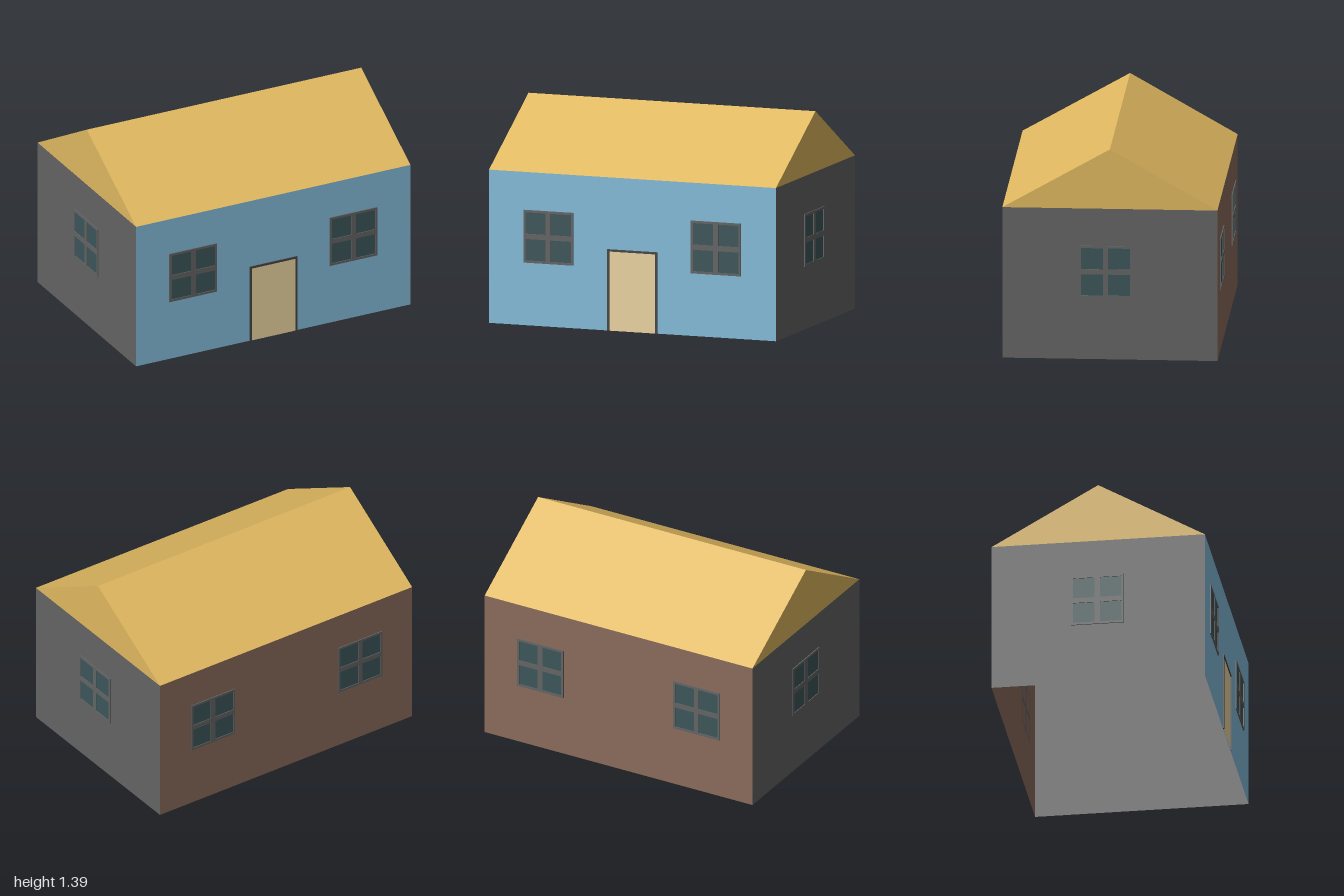
import * as THREE from 'three';

const W = 0.993, D = 0.694, EAVES = 1, RIDGE = 1.395; // half width, half depth, heights
const PROUD = 0.007; // how far windows and door stand off the walls

const mat = (color) => new THREE.MeshStandardMaterial({ color, side: THREE.DoubleSide, flatShading: true });
const colors = {
  blue: mat(0x84bcdb), brown: mat(0x8b6c5c), grey: mat(0x646464),
  roof: mat(0xe0b860), glass: mat(0x3c565a), trim: mat(0x454545), door: mat(0xecd5a2),
};

function add(parent, name, geometry, material, x = 0, y = 0, z = 0) {
  const mesh = new THREE.Mesh(geometry, material);
  mesh.name = name;
  mesh.position.set(x, y, z);
  parent.add(mesh);
  return mesh;
}

function polygon(points) {
  return new THREE.Shape(points.map(([x, y]) => new THREE.Vector2(x, y)));
}

// Square window facing +z: a frame with four openings and recessed panes
function makeWindow(name) {
  const win = new THREE.Group();
  win.name = name;
  const half = 0.172, pane = 0.14, offset = 0.087, p = pane / 2;
  const frame = polygon([[-half, -half], [half, -half], [half, half], [-half, half]]);
  for (const x of [-offset, offset]) {
    for (const y of [-offset, offset]) {
      frame.holes.push(polygon([[x - p, y - p], [x - p, y + p], [x + p, y + p], [x + p, y - p]]));
      add(win, 'windowPane', new THREE.PlaneGeometry(pane, pane), colors.glass, x, y, 0.002);
    }
  }
  add(win, 'windowFrame', new THREE.ExtrudeGeometry(frame, { depth: PROUD, bevelEnabled: false }), colors.grey);
  return win;
}

export function createModel() {
  const house = new THREE.Group();
  house.name = 'house';

  // Four thin walls, open underneath
  const longWall = new THREE.PlaneGeometry(2 * W, EAVES);
  const sideWall = new THREE.PlaneGeometry(2 * D, EAVES);
  add(house, 'frontWall', longWall, colors.blue, 0, EAVES / 2, D);
  add(house, 'backWall', longWall, colors.brown, 0, EAVES / 2, -D).rotation.y = Math.PI;
  add(house, 'leftWall', sideWall, colors.grey, W, EAVES / 2, 0).rotation.y = Math.PI / 2;
  add(house, 'rightWall', sideWall, colors.grey, -W, EAVES / 2, 0).rotation.y = -Math.PI / 2;

  // Two roof slopes and two gables, open to the room
  const rise = RIDGE - EAVES;
  const slope = new THREE.PlaneGeometry(2 * W, Math.hypot(rise, D));
  const gable = new THREE.ShapeGeometry(polygon([[-D, 0], [D, 0], [0, rise]]));
  for (const s of [1, -1]) {
    const side = new THREE.Group();
    side.name = s > 0 ? 'frontRoof' : 'backRoof';
    side.rotation.y = s > 0 ? 0 : Math.PI;
    add(side, 'roofSlope', slope, colors.roof, 0, EAVES + rise / 2, D / 2).rotation.x = -Math.atan2(D, rise);
    house.add(side);
    add(house, s > 0 ? 'leftGable' : 'rightGable', gable, colors.roof, s * W, EAVES, 0).rotation.y = s * Math.PI / 2;
  }

  // Windows: two at the front, two at the back, one on each side
  const windows = [
    ['frontWindow', -0.581, D, 0], ['frontWindow', 0.578, D, 0],
    ['backWindow', -0.581, -D, Math.PI], ['backWindow', 0.578, -D, Math.PI],
    ['leftWindow', W, 0.028, Math.PI / 2], ['rightWindow', -W, -0.005, -Math.PI / 2],
  ];
  for (const [name, x, z, turn] of windows) {
    const win = makeWindow(name);
    win.position.set(x, 0.581, z);
    win.rotation.y = turn;
    house.add(win);
  }

  // Door with a trim around the sides and top
  const door = new THREE.Group();
  door.name = 'door';
  door.position.z = D;
  const w = 0.173, h = 0.531, t = 0.014;
  const trim = polygon([[-w, 0], [-w + t, 0], [-w + t, h - t], [w - t, h - t], [w - t, 0], [w, 0], [w, h], [-w, h]]);
  add(door, 'doorTrim', new THREE.ExtrudeGeometry(trim, { depth: PROUD, bevelEnabled: false }), colors.trim);
  add(door, 'doorPanel', new THREE.PlaneGeometry(2 * (w - t), h - t), colors.door, 0, (h - t) / 2, 0.003);
  house.add(door);

  return house;
}
